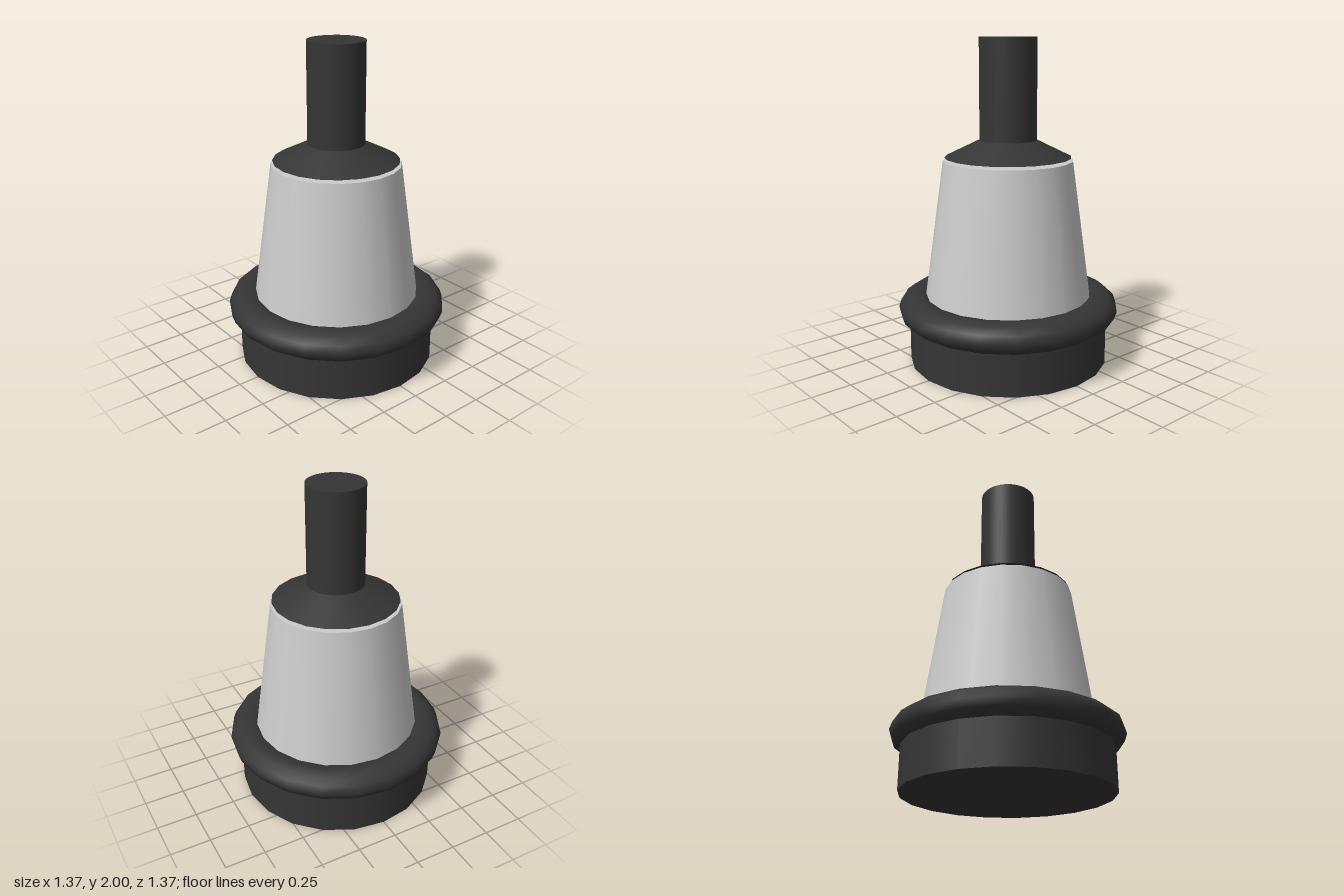
import * as THREE from 'three';

const SIDES = 20;
const grey = new THREE.MeshStandardMaterial({ color: 0xcccccc });
const dark = new THREE.MeshStandardMaterial({ color: 0x353535 });

// Upright, capped cylinder or cone between two heights
function round(name, rTop, rBottom, y0, y1, material, sides = SIDES) {
  const mesh = new THREE.Mesh(new THREE.CylinderGeometry(rTop, rBottom, y1 - y0, sides), material);
  mesh.position.y = (y0 + y1) / 2;
  mesh.name = name;
  return mesh;
}

export function createModel() {
  const model = new THREE.Group();
  model.name = 'taperedPlug';

  // Foot
  model.add(round('base', 0.62, 0.62, 0, 0.34, dark));

  // Flattened ring around the foot of the body
  const ring = new THREE.Mesh(new THREE.TorusGeometry(0.57, 0.117, 12, SIDES), dark);
  ring.geometry.rotateX(-Math.PI / 2).scale(1, 0.78, 1);
  ring.position.y = 0.342;
  ring.name = 'collarRing';
  model.add(ring);

  // Tapered body, with a narrow gap below the shoulder
  model.add(round('body', 0.398, 0.533, 0.3, 1.265, grey));

  // Sloping shoulder and stem
  model.add(round('shoulder', 0.175, 0.388, 1.283, 1.387, dark));
  model.add(round('stem', 0.174, 0.174, 1.37, 2, dark, 40));

  return model;
}
